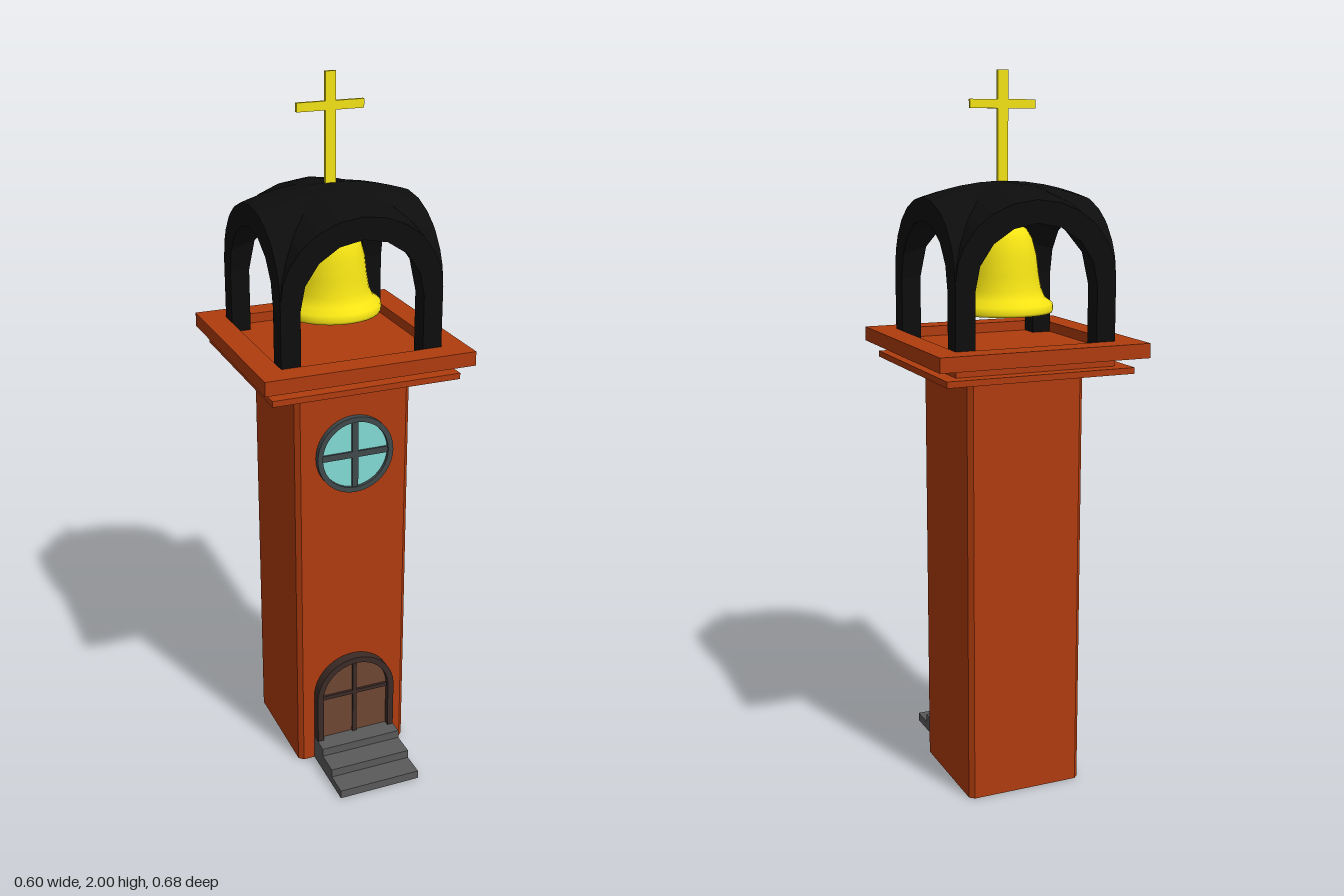
import * as THREE from 'three';

const paint = (color, extra = {}) => new THREE.MeshStandardMaterial({ color, ...extra });
const brick = paint(0xb03c0e);
const black = paint(0x0d0d0d, { flatShading: true });
const gold = paint(0xf5e414, { side: THREE.DoubleSide });
const stone = paint(0x5a5a5a);
const frameGrey = paint(0x41494c);
const glass = paint(0x84dcd6);
const wood = paint(0x6e4733);
const darkWood = paint(0x3c2b26);

function add(parent, name, geometry, material, x = 0, y = 0, z = 0) {
  const mesh = new THREE.Mesh(geometry, material);
  mesh.name = name;
  mesh.position.set(x, y, z);
  parent.add(mesh);
  return mesh;
}

// Box placed by its bottom and top heights
const slab = (parent, name, mat, w, y0, y1, d, x = 0, z = 0) =>
  add(parent, name, new THREE.BoxGeometry(w, y1 - y0, d), mat, x, (y0 + y1) / 2, z);

const extrude = (shape, depth) =>
  new THREE.ExtrudeGeometry(shape, { depth, bevelEnabled: false, curveSegments: 20 });

function squareShape(h, cut = 0) {
  const s = new THREE.Shape();
  s.moveTo(h, -h + cut);
  s.lineTo(h, h - cut);
  if (cut) s.lineTo(h - cut, h);
  s.lineTo(-h + cut, h);
  if (cut) s.lineTo(-h, h - cut);
  s.lineTo(-h, -h + cut);
  if (cut) s.lineTo(-h + cut, -h);
  s.lineTo(h - cut, -h);
  s.closePath();
  return s;
}

function archShape(r, bottom, spring) {
  const s = new THREE.Shape();
  s.moveTo(-r, bottom);
  s.lineTo(r, bottom);
  s.lineTo(r, spring);
  s.absarc(0, spring, r, 0, Math.PI, false);
  s.closePath();
  return s;
}

function discShape(r) {
  return new THREE.Shape().absarc(0, 0, r, 0, Math.PI * 2, false);
}

// Cross vault: two crossing elliptical barrels, thick shell with vertical edges
function vaultGeometry() {
  const half = 0.23, inner = 0.175;
  const right = [1, 2, 3, 4].map(k => inner * Math.sin(k * Math.PI / 8)).concat([0.205, 0.222, half]);
  const ts = [...right.map(t => -t).reverse(), 0, ...right];
  const arch = (t, a, spring, rise) => spring + rise * Math.sqrt(Math.max(0, 1 - (t / a) ** 2));
  const swell = t => 0.04 * (1 - (t / half) ** 2);
  const height = (x, z, a, spring, rise) => Math.max(
    arch(x, a, spring, rise) + (Math.abs(x) < a ? swell(z) : 0),
    arch(z, a, spring, rise) + (Math.abs(z) < a ? swell(x) : 0));
  const top = (x, z) => new THREE.Vector3(x, height(x, z, half, 1.46, 0.21), z);
  const low = (x, z) => new THREE.Vector3(x, height(x, z, inner, 1.44, 0.17), z);
  const pts = [];
  const quad = (a, b, c, d, flip) => pts.push(...(flip ? [a, b, d, b, c, d] : [a, b, c, a, c, d]));
  for (let i = 0; i < ts.length - 1; i++) {
    const x0 = ts[i], x1 = ts[i + 1];
    for (let j = 0; j < ts.length - 1; j++) {
      const z0 = ts[j], z1 = ts[j + 1];
      const flip = (x0 + x1) * (z0 + z1) < 0;
      quad(top(x0, z0), top(x0, z1), top(x1, z1), top(x1, z0), flip);
      quad(low(x0, z0), low(x1, z0), low(x1, z1), low(x0, z1), flip);
    }
    quad(low(x0, half), low(x1, half), top(x1, half), top(x0, half));
    quad(low(x1, -half), low(x0, -half), top(x0, -half), top(x1, -half));
    quad(low(half, x1), low(half, x0), top(half, x0), top(half, x1));
    quad(low(-half, x0), low(-half, x1), top(-half, x1), top(-half, x0));
  }
  const g = new THREE.BufferGeometry().setFromPoints(pts);
  g.computeVertexNormals();
  return g;
}

export function createModel() {
  const model = new THREE.Group();
  model.name = 'bellTower';
  const tower = new THREE.Group();
  tower.name = 'tower';
  tower.position.z = -0.04;
  model.add(tower);

  // Shaft with chamfered corners
  add(tower, 'shaft', extrude(squareShape(0.17, 0.013), 1.21), brick).rotation.x = -Math.PI / 2;

  // Cornice with a shallow recessed deck
  slab(tower, 'corniceLower', brick, 0.54, 1.205, 1.222, 0.54);
  slab(tower, 'corniceNeck', brick, 0.46, 1.222, 1.262, 0.46);
  const rim = squareShape(0.3);
  rim.holes.push(squareShape(0.23));
  add(tower, 'corniceRim', extrude(rim, 0.04), brick, 0, 1.25).rotation.x = -Math.PI / 2;

  // Belfry canopy
  for (const sx of [-1, 1]) for (const sz of [-1, 1])
    slab(tower, 'belfryLeg', black, 0.055, 1.262, 1.455, 0.055, sx * 0.2025, sz * 0.2025);
  add(tower, 'belfryVault', vaultGeometry(), black);

  // Bell
  const profile = [
    [0.125, 1.355], [0.138, 1.355], [0.141, 1.362], [0.139, 1.38], [0.118, 1.395], [0.107, 1.42],
    [0.1, 1.46], [0.094, 1.51], [0.082, 1.555], [0.066, 1.582], [0.035, 1.6], [0, 1.606],
  ].map(p => new THREE.Vector2(...p));
  add(tower, 'bell', new THREE.LatheGeometry(profile, 32), gold);
  const lining = [[0, 1.58], [0.06, 1.56], [0.085, 1.5], [0.095, 1.42], [0.125, 1.355]]
    .map(p => new THREE.Vector2(...p));
  add(tower, 'bellLining', new THREE.LatheGeometry(lining, 32), gold);
  add(tower, 'bellHanger', new THREE.CylinderGeometry(0.007, 0.007, 0.09, 10), gold, 0, 1.64);
  add(tower, 'clapperRod', new THREE.CylinderGeometry(0.007, 0.007, 0.23, 10), gold, 0, 1.465);
  add(tower, 'clapper', new THREE.SphereGeometry(0.024, 16, 10), gold, 0, 1.361);

  // Cross
  slab(tower, 'crossPost', gold, 0.03, 1.69, 2, 0.01);
  slab(tower, 'crossArm', gold, 0.19, 1.9, 1.924, 0.01);

  // Round window
  const window = new THREE.Group();
  window.name = 'roundWindow';
  window.position.set(0, 0.99, 0.125);
  model.add(window);
  const ring = discShape(0.113);
  ring.holes.push(discShape(0.098));
  add(window, 'windowFrame', extrude(ring, 0.022), frameGrey);
  add(window, 'windowGlass', extrude(discShape(0.1), 0.012), glass);
  slab(window, 'windowBar', frameGrey, 0.018, -0.1, 0.1, 0.018, 0, 0.009);
  slab(window, 'windowBar', frameGrey, 0.2, -0.009, 0.009, 0.018, 0, 0.009);

  // Arched door
  const door = new THREE.Group();
  door.name = 'door';
  door.position.z = 0.125;
  model.add(door);
  const surround = archShape(0.122, 0.05, 0.218);
  surround.holes.push(archShape(0.104, 0.06, 0.218));
  add(door, 'doorFrame', extrude(surround, 0.035), darkWood);
  add(door, 'doorPanel', extrude(archShape(0.106, 0.055, 0.218), 0.017), wood);
  slab(door, 'doorBar', darkWood, 0.012, 0.06, 0.324, 0.024, 0, 0.012);
  slab(door, 'doorBar', darkWood, 0.21, 0.209, 0.221, 0.024, 0, 0.012);

  // Entrance steps
  [0.34, 0.27, 0.2].forEach((front, i) =>
    slab(model, 'step', stone, 0.246, i * 0.025, (i + 1) * 0.025, front - 0.125, 0, (front + 0.125) / 2));

  return model;
}
